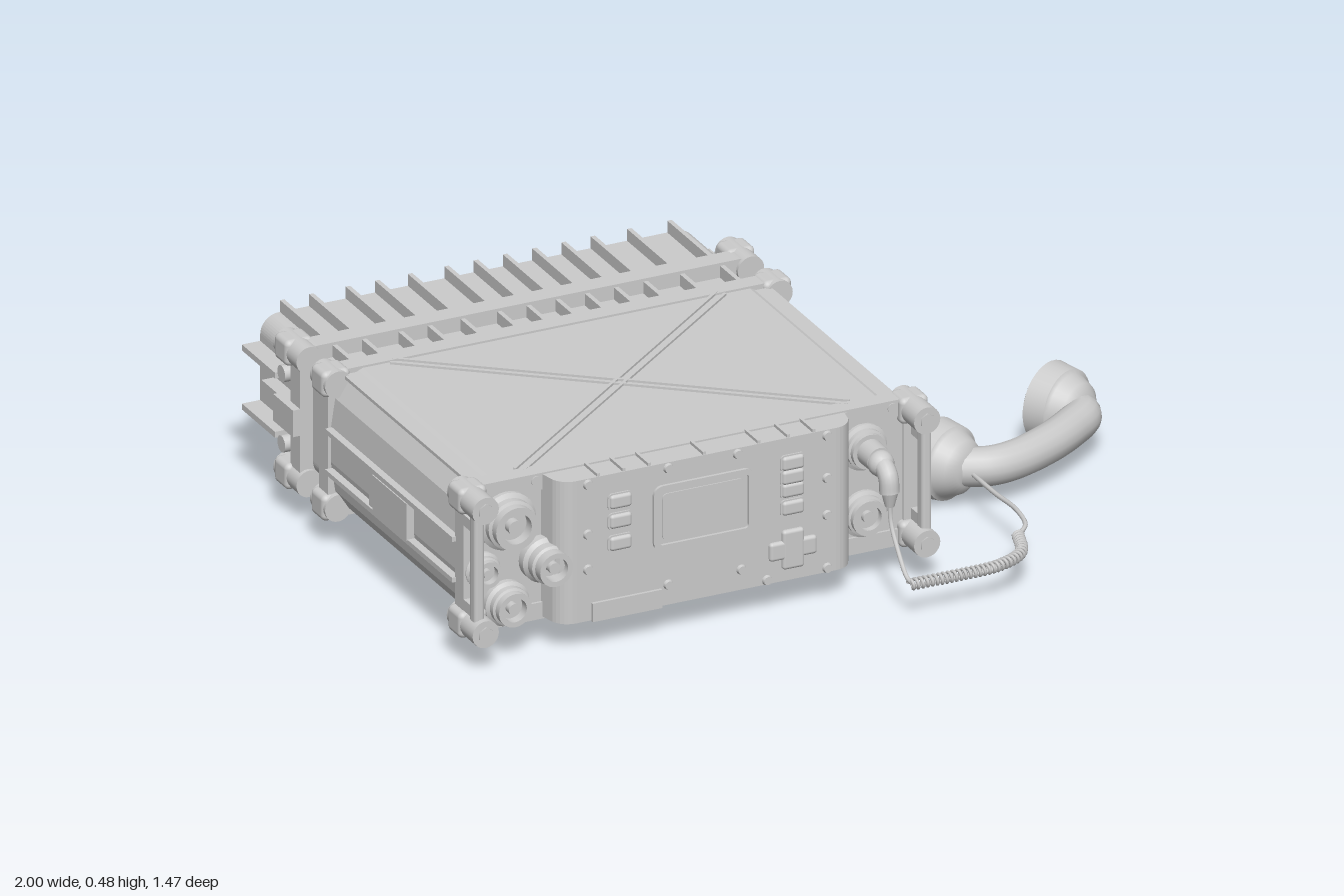
import * as THREE from 'three';
import { RoundedBoxGeometry } from 'three/addons/geometries/RoundedBoxGeometry.js';

const CX = -0.36, CY = 0.272; // centre of the radio case
const V = (x, y, z) => new THREE.Vector3(x, y, z);

export function createModel() {
  const root = new THREE.Group();
  const mat = new THREE.MeshStandardMaterial({ color: 0xcccccc, roughness: 0.7 });
  const thin = new THREE.MeshStandardMaterial({ color: 0xcccccc, roughness: 0.7, side: THREE.DoubleSide });

  const add = (name, geo, x = 0, y = 0, z = 0, m = mat) => {
    const mesh = new THREE.Mesh(geo, m);
    mesh.name = name;
    mesh.position.set(x, y, z);
    root.add(mesh);
    return mesh;
  };
  // Box given by its limits
  const box = (name, x0, x1, y0, y1, z0, z1) =>
    add(name, new THREE.BoxGeometry(x1 - x0, y1 - y0, z1 - z0), (x0 + x1) / 2, (y0 + y1) / 2, (z0 + z1) / 2);
  const rbox = (name, x0, x1, y0, y1, z0, z1, r) =>
    add(name, new RoundedBoxGeometry(x1 - x0, y1 - y0, z1 - z0, 3, r), (x0 + x1) / 2, (y0 + y1) / 2, (z0 + z1) / 2);
  // Cylinder along z
  const cylZ = (name, x, y, z0, z1, r0, r1 = r0, n = 24) =>
    add(name, new THREE.CylinderGeometry(r1, r0, z1 - z0, n).rotateX(Math.PI / 2), x, y, (z0 + z1) / 2);
  const roundRect = (path, w, h, r) => {
    const a = w / 2, b = h / 2;
    path.moveTo(-a + r, -b);
    path.lineTo(a - r, -b).absarc(a - r, -b + r, r, -Math.PI / 2, 0, false);
    path.lineTo(a, b - r).absarc(a - r, b - r, r, 0, Math.PI / 2, false);
    path.lineTo(-a + r, b).absarc(-a + r, b - r, r, Math.PI / 2, Math.PI, false);
    path.lineTo(-a, -b + r).absarc(-a + r, -b + r, r, Math.PI, Math.PI * 1.5, false);
    return path;
  };
  const extrude = (shape, depth) => new THREE.ExtrudeGeometry(shape, { depth, bevelEnabled: false, curveSegments: 6 });
  const ring = (name, x, y, z, w, h, r, t, depth) => {
    const s = roundRect(new THREE.Shape(), w, h, r);
    s.holes.push(roundRect(new THREE.Path(), w - 2 * t, h - 2 * t, Math.max(r - t, 0.005)));
    return add(name, extrude(s, depth), x, y, z);
  };

  // Main case: one section with sloping sides
  const half = [[0.53, 0.192], [0.575, 0.172], [0.605, 0.125], [0.617, 0.045]];
  const right = [...half, ...half.map(([x, y]) => [x, -y]).reverse()];
  const outline = [...right, ...right.map(([x, y]) => [-x, -y])];
  const section = new THREE.Shape(outline.map(([x, y]) => new THREE.Vector2(x, y)));
  add('case', extrude(section, 0.75), CX, CY, -0.31);

  // Crossed ribs on the lid
  const ribAngle = Math.atan2(0.72, 0.91);
  for (const s of [-1, 1]) {
    for (const off of [-0.012, 0.012]) {
      const rib = add('lidRib', new THREE.BoxGeometry(1.15, 0.01, 0.008), CX + off * Math.sin(ribAngle) * s,
        0.465, 0.07 + off * Math.cos(ribAngle));
      rib.rotation.y = s * ribAngle;
    }
  }

  // Side rails, side bar and end latches
  for (const s of [-1, 1]) {
    const side = (name, a, b, y0, y1, z0, z1) =>
      box(name, CX + Math.min(s * a, s * b), CX + Math.max(s * a, s * b), y0, y1, z0, z1);
    for (const y of [0.2, 0.31]) side('sideRail', 0.59, 0.635, y, y + 0.013, -0.28, 0.43);
    side('sideBar', 0.6, 0.63, 0.2, 0.315, -0.045, -0.025);
    side('sideTrim', 0.5, 0.585, 0.45, 0.459, -0.28, 0.43);
    side('latch', 0.58, 0.645, 0.235, 0.307, -0.55, -0.44);
    side('latchTongue', 0.58, 0.628, 0.245, 0.3, -0.65, -0.55);
    for (const y of [0.195, 0.355]) side('sideFin', 0.58, 0.64, y - 0.008, y + 0.008, -0.735, -0.55);
    for (const y of [0.18, 0.37]) {
      add('sideScrew', new THREE.CylinderGeometry(0.022, 0.022, 0.05, 16).rotateZ(Math.PI / 2), CX + s * 0.61, y, -0.525);
    }
  }
  box('sideLabel', -0.998, -0.97, 0.21, 0.31, -0.01, 0.18);

  // Frames with corner bumpers: [bar start, bar end, bumper start, bumper end]
  for (const [b0, b1, c0, c1] of [[0.425, 0.472, 0.41, 0.555], [-0.335, -0.285, -0.355, -0.27], [-0.495, -0.44, -0.56, -0.43]]) {
    ring('frame', CX, CY, b0, 1.25, 0.395, 0.05, 0.045, b1 - b0);
    for (const s of [-1, 1]) for (const t of [-1, 1]) {
      const x = CX + s * 0.604, y = CY + t * 0.167;
      cylZ('cornerBumper', x, y, c0, c1, 0.036);
      rbox('cornerBlock', x - 0.039, x + 0.039, y - 0.035, y + 0.035, c0 + 0.005, Math.min(c0 + 0.08, c1 - 0.005), 0.015);
      if (c1 > 0) cylZ('bumperScrew', x, y, c1, c1 + 0.004, 0.02, 0.02, 6);
    }
  }

  // Guard bars beside the front
  for (const s of [-1, 1]) {
    const x = CX + s * 0.612;
    rbox('guardBar', x - 0.014, x + 0.014, 0.12, 0.42, 0.505, 0.54, 0.01);
    for (const y of [0.155, 0.385]) box('guardFoot', x - 0.012, x + 0.012, y - 0.015, y + 0.015, 0.46, 0.53);
  }

  // Finned battery pack
  add('batteryPack', extrude(roundRect(new THREE.Shape(), 1.19, 0.32, 0.05), 0.43), -0.355, 0.27, -0.735);
  for (const x of [-0.89, -0.81, -0.71, -0.63, -0.54, -0.44, -0.36, -0.28, -0.2, -0.12, -0.04, 0.06, 0.17]) {
    box('coolingFin', x - 0.006, x + 0.006, 0.41, 0.462, -0.735, -0.32);
  }

  // Front plate and raised control panel
  add('frontPlate', extrude(roundRect(new THREE.Shape(), 1.2, 0.38, 0.04), 0.02), CX, CY, 0.445);
  const panel = new THREE.Shape();
  panel.moveTo(-0.77, 0.46);
  panel.lineTo(0.06, 0.46);
  panel.lineTo(0.05, 0.51).quadraticCurveTo(0.035, 0.545, 0, 0.545);
  panel.lineTo(-0.71, 0.545).quadraticCurveTo(-0.745, 0.545, -0.76, 0.51);
  add('controlPanel', extrude(panel, 0.385).rotateX(Math.PI / 2), 0, 0.465, 0);
  for (const x of [-0.65, -0.58, -0.51, -0.36, -0.21, -0.13, -0.06]) box('panelRib', x - 0.004, x + 0.004, 0.46, 0.473, 0.47, 0.543);
  box('panelLip', -0.67, -0.48, 0.078, 0.128, 0.5, 0.553);

  // Display
  ring('displayFrame', -0.365, 0.32, 0.545, 0.275, 0.175, 0.025, 0.015, 0.008);
  add('displayGlass', extrude(roundRect(new THREE.Shape(), 0.225, 0.125, 0.015), 0.003), -0.365, 0.32, 0.545);

  // Buttons
  const buttons = [[-0.592, 0.39], [-0.592, 0.337], [-0.592, 0.277], [-0.12, 0.398], [-0.12, 0.36], [-0.12, 0.325], [-0.12, 0.277]];
  for (const [x, y] of buttons) {
    rbox('button', x - 0.03, x + 0.03, y - 0.019, y + 0.019, 0.535, 0.556, 0.009);
    ring('buttonRim', x, y, 0.543, 0.068, 0.045, 0.012, 0.005, 0.006);
  }
  rbox('crossPad', -0.185, -0.055, 0.14, 0.19, 0.535, 0.555, 0.009);
  rbox('crossPad', -0.15, -0.09, 0.112, 0.218, 0.535, 0.556, 0.009);

  // Panel screws
  for (const [x, y] of [[-0.68, 0.45], [-0.68, 0.315], [-0.68, 0.22], [-0.46, 0.45], [-0.27, 0.45], [-0.025, 0.45], [-0.025, 0.335],
    [-0.025, 0.235], [-0.025, 0.092], [-0.19, 0.092], [-0.26, 0.135], [-0.46, 0.135]]) {
    cylZ('panelScrew', x, y, 0.54, 0.553, 0.015, 0.011, 12);
  }

  // Sockets: stepped collar, recessed throat and centre pin
  const socket = (name, x, y, r, z1) => {
    const p = [[0, 0], [1, 0], [1, 0.3], [0.85, 0.4], [0.85, 0.65], [0.75, 0.7], [0.75, 1], [0.52, 1], [0.52, 0.6], [0.25, 0.6], [0.25, 0.9], [0, 0.9]];
    const pts = [];
    // Each point is doubled so the steps stay sharp
    p.forEach(([a, b]) => { for (let i = 0; i < 2; i++) pts.push(new THREE.Vector2(a * r, b * (z1 - 0.46))); });
    add(name, new THREE.LatheGeometry(pts, 28).rotateX(Math.PI / 2), x, y, 0.46, thin);
  };
  socket('largeKnob', -0.868, 0.362, 0.077, 0.535);
  socket('smallSocket', -0.932, 0.24, 0.047, 0.51);
  socket('selectorKnob', -0.77, 0.24, 0.06, 0.555);
  socket('lowerSocket', -0.868, 0.138, 0.06, 0.525);
  socket('handsetSocket', 0.112, 0.36, 0.062, 0.505);
  socket('spareSocket', 0.112, 0.18, 0.062, 0.505);
  for (const [x, y] of [[-0.785, 0.45], [0.06, 0.45], [0.19, 0.45]]) cylZ('plateScrew', x, y, 0.46, 0.475, 0.014, 0.014, 12);

  // Plug with bent neck
  cylZ('plugBody', 0.112, 0.36, 0.47, 0.56, 0.036, 0.034);
  const neck = new THREE.CatmullRomCurve3([V(0.112, 0.355, 0.55), V(0.112, 0.355, 0.58), V(0.112, 0.335, 0.607), V(0.112, 0.295, 0.614)]);
  add('plugNeck', new THREE.TubeGeometry(neck, 12, 0.025, 14));
  add('plugElbow', new THREE.SphereGeometry(0.034, 16, 12), 0.112, 0.355, 0.565);
  add('plugTip', new THREE.CylinderGeometry(0.022, 0.012, 0.04, 14), 0.112, 0.28, 0.615);

  // Cord: straight lead, coil, straight lead
  const cord = (name, pts, r = 0.006) =>
    add(name, new THREE.TubeGeometry(new THREE.CatmullRomCurve3(pts), 40, r, 8));
  cord('plugLead', [V(0.112, 0.29, 0.615), V(0.112, 0.22, 0.622), V(0.112, 0.16, 0.66), V(0.112, 0.105, 0.715), V(0.122, 0.092, 0.72)]);
  const axis = new THREE.CatmullRomCurve3([V(0.115, 0.09, 0.72), V(0.24, 0.09, 0.722), V(0.36, 0.09, 0.715), V(0.44, 0.092, 0.675), V(0.48, 0.095, 0.58)]);
  const turns = 34, steps = turns * 10, coil = [];
  for (let i = 0; i <= steps; i++) {
    const t = i / steps, a = t * turns * Math.PI * 2;
    const tan = axis.getTangentAt(t), out = V(tan.z, 0, -tan.x).normalize();
    coil.push(axis.getPointAt(t).addScaledVector(out, 0.012 * Math.cos(a)).add(V(0, 0.012 * Math.sin(a), 0)));
  }
  add('coiledCord', new THREE.TubeGeometry(new THREE.CatmullRomCurve3(coil), steps * 2, 0.0045, 6));
  cord('handsetLead', [V(0.48, 0.095, 0.585), V(0.515, 0.1, 0.55), V(0.53, 0.105, 0.47), V(0.53, 0.1, 0.35), V(0.53, 0.1, 0.2)]);

  // Handset: curved grip and two cups
  const grip = new THREE.CatmullRomCurve3([V(0.52, 0.1, 0.175), V(0.59, 0.1, 0.2), V(0.66, 0.1, 0.193), V(0.77, 0.1, 0.147),
    V(0.86, 0.1, 0.09), V(0.922, 0.1, 0.035), V(0.925, 0.1, -0.01)]);
  add('handsetGrip', new THREE.TubeGeometry(grip, 40, 0.05, 16));
  const cup = [[0, -0.125], [0.045, -0.12], [0.07, -0.1], [0.085, -0.068], [0.096, -0.062], [0.096, -0.062], [0.104, -0.004],
    [0.104, -0.004], [0.098, 0], [0.09, 0], [0.09, 0], [0.078, -0.012], [0, -0.02]].map(([r, y]) => new THREE.Vector2(r, y));
  for (const [name, x, z, dx, dz] of [['mouthpiece', 0.483, 0.093, -0.4, -0.92], ['earpiece', 0.882, -0.08, -0.45, -0.89]]) {
    const m = add(name, new THREE.LatheGeometry(cup, 32), x, 0.102, z, thin);
    m.quaternion.setFromUnitVectors(V(0, 1, 0), V(dx, 0, dz).normalize());
  }
  return root;
}
